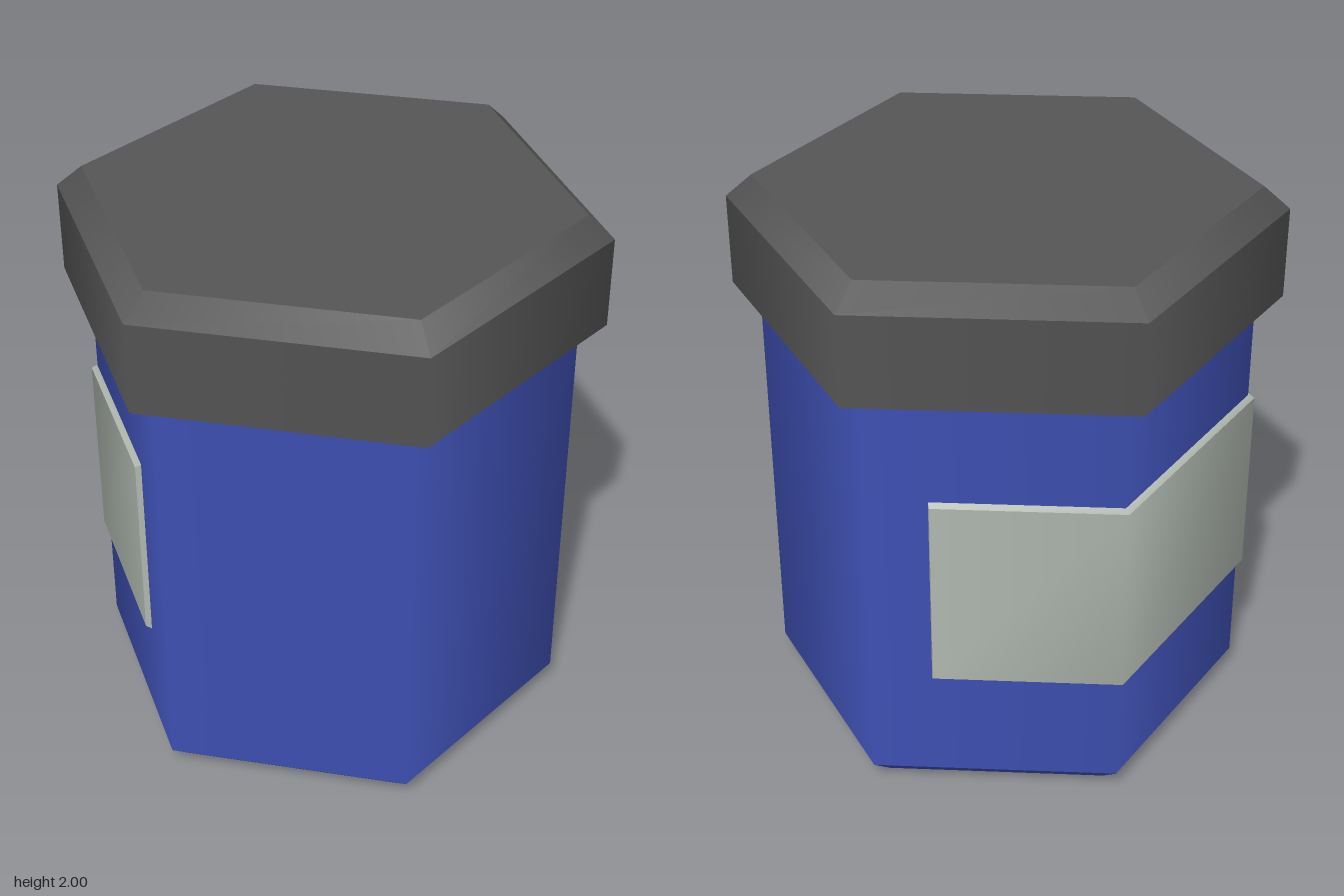
import * as THREE from 'three';
import { mergeGeometries } from 'three/addons/utils/BufferGeometryUtils.js';

const mat = (name, color) => {
  const m = new THREE.MeshStandardMaterial({ color });
  m.name = name;
  return m;
};

// Hexagonal ring of wall with corners on the z axis
function hexWall(rBottom, rTop, y0, y1) {
  return new THREE.CylinderGeometry(rTop, rBottom, y1 - y0, 6, 1, true).translate(0, (y0 + y1) / 2, 0);
}

// Flat hexagonal face looking up or down
function hexFace(r, y, up) {
  return new THREE.CircleGeometry(r, 6, Math.PI / 2)
    .rotateX(up ? -Math.PI / 2 : Math.PI / 2).translate(0, y, 0);
}

// Strip of quads between a lower and an upper row of points, smooth along its length
function strip(lower, upper) {
  const n = lower.length, index = [];
  for (let i = 0; i < n - 1; i++) index.push(i, i + 1, n + i + 1, i, n + i + 1, n + i);
  const g = new THREE.BufferGeometry().setFromPoints([...lower, ...upper]);
  g.setIndex(index);
  g.computeVertexNormals();
  return g;
}

// Row of label points: covers the whole -x side and part of both neighbouring sides
function labelRow(r, part, y) {
  const corner = (k) => {
    const a = (k * Math.PI) / 3;
    return new THREE.Vector3(r * Math.sin(a), y, r * Math.cos(a));
  };
  return [corner(4).lerp(corner(3), part), corner(4), corner(5), corner(5).lerp(corner(6), part)];
}

function labelGeometry() {
  const inB = labelRow(0.85, 0.75, 0.48), inT = labelRow(0.85, 0.75, 1.2);
  const outB = labelRow(0.873, 0.738, 0.493), outT = labelRow(0.873, 0.738, 1.188);
  return mergeGeometries([
    strip(outB, outT), // face
    strip(outT, inT), // upper edge
    strip(inB, outB), // lower edge
    strip([outB[3], inB[3]], [outT[3], inT[3]]), // front end
    strip([inB[0], outB[0]], [inT[0], outT[0]]), // back end
  ]);
}

export function createModel() {
  const blue = mat('body blue', 0x3f51b5);
  const dark = mat('lid grey', 0x555555);
  const pale = mat('label grey', 0xb0b8b0);
  const model = new THREE.Group();
  model.name = 'hexagonalJar';
  const add = (name, geometry, material) => {
    const mesh = new THREE.Mesh(geometry, material);
    mesh.name = name;
    model.add(mesh);
  };

  // Body with a bevelled foot
  add('body', mergeGeometries([
    hexFace(0.76, 0, false),
    hexWall(0.76, 0.85, 0, 0.08),
    hexWall(0.85, 0.85, 0.08, 1.6),
  ]), blue);

  // Overhanging lid with a bevelled top
  add('lid', mergeGeometries([
    hexFace(0.943, 1.595, false),
    hexWall(0.943, 0.943, 1.595, 1.92),
    hexWall(0.943, 0.852, 1.92, 2),
    hexFace(0.852, 2, true),
  ]), dark);

  // Label wrapped around the -x side
  add('label', labelGeometry(), pale);
  return model;
}
